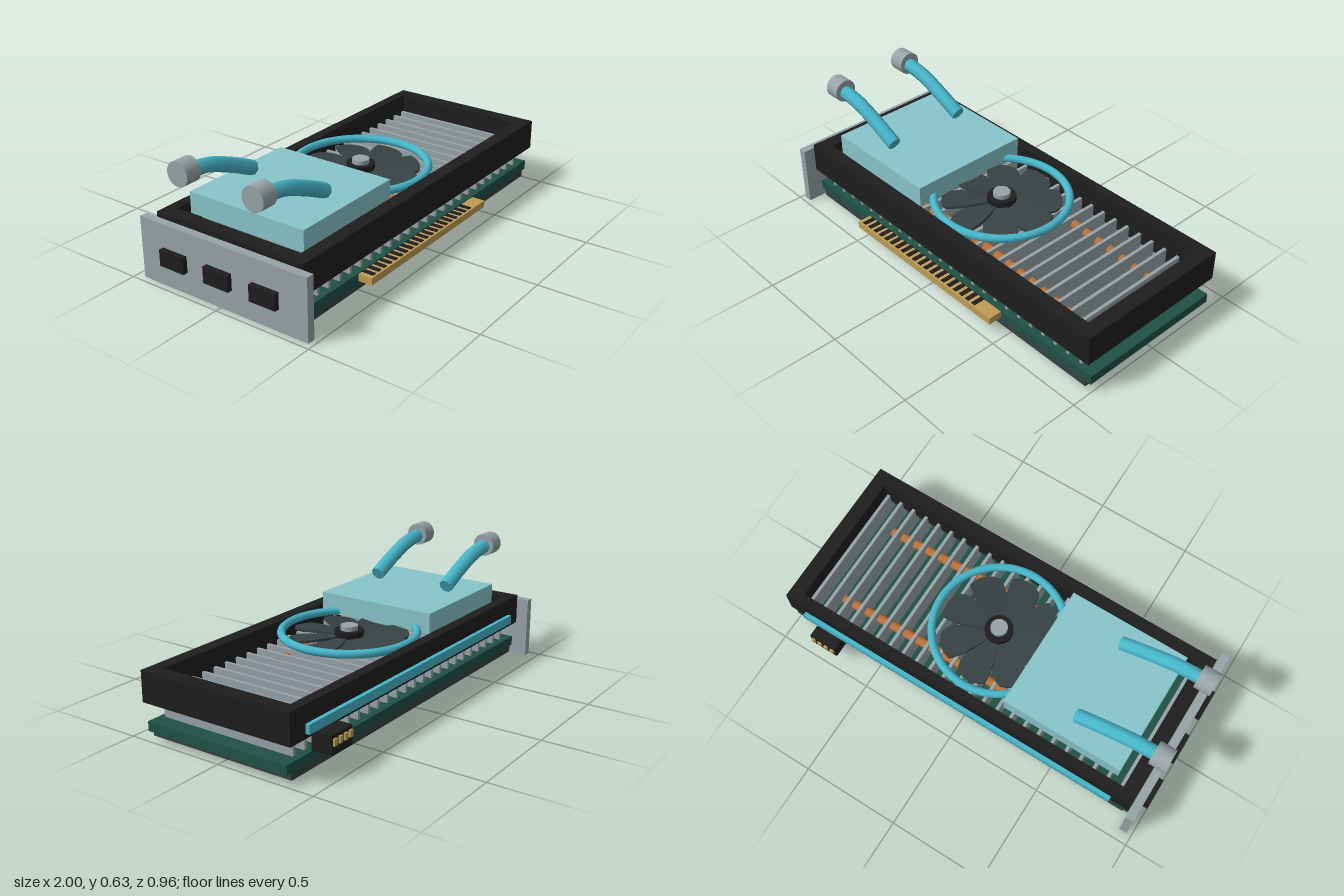
import * as THREE from 'three';

const mat = (name, color, side = THREE.FrontSide) => {
  const m = new THREE.MeshStandardMaterial({ color, side });
  m.name = name;
  return m;
};

export function createModel() {
  const black = mat('black plastic', 0x1e1e1e);
  const green = mat('circuit green', 0x1f5145);
  const slate = mat('dark slate', 0x374242, THREE.DoubleSide);
  const steel = mat('steel grey', 0x98a4a8);
  const gold = mat('gold', 0xc09c54);
  const copper = mat('copper', 0xb87038);
  const teal = mat('coolant teal', 0x46b6ca);
  const paleTeal = mat('pale teal', 0x88c5ca);

  const root = new THREE.Group();
  root.name = 'graphicsCard';
  const add = (name, geometry, material, parent = root) => {
    const mesh = new THREE.Mesh(geometry, material);
    mesh.name = name;
    parent.add(mesh);
    return mesh;
  };
  // Box given by its lower and upper limits on each axis
  const box = (name, material, [x0, x1], [y0, y1], [z0, z1], parent) => {
    const g = new THREE.BoxGeometry(x1 - x0, y1 - y0, z1 - z0);
    g.translate((x0 + x1) / 2, (y0 + y1) / 2, (z0 + z1) / 2);
    return add(name, g, material, parent);
  };
  const disc = (name, material, r, y0, y1, x, z, sides = 24, parent) => {
    const g = new THREE.CylinderGeometry(r, r, y1 - y0, sides);
    g.translate(x, (y0 + y1) / 2, z);
    return add(name, g, material, parent);
  };
  const curve = (pts, z) => new THREE.CatmullRomCurve3(pts.map(([x, y]) => new THREE.Vector3(x, y, z)));
  // Round pipe with closed ends
  const pipe = (name, material, path, r, sides) => {
    const group = new THREE.Group();
    group.name = name;
    root.add(group);
    add(name + 'Wall', new THREE.TubeGeometry(path, 24, r, sides), material, group);
    for (const t of [0, 1]) {
      const end = add(name + 'End', new THREE.CircleGeometry(r, sides), material, group);
      const dir = path.getTangent(t).multiplyScalar(t ? 1 : -1);
      end.position.copy(path.getPoint(t));
      end.quaternion.setFromUnitVectors(new THREE.Vector3(0, 0, 1), dir);
    }
  };

  // Board, backplate and screws
  box('circuitBoard', green, [-0.93, 1], [0.05, 0.097], [-0.37, 0.4]);
  box('backplate', slate, [-0.905, 0.97], [0.018, 0.05], [-0.37, 0.4]);
  for (const x of [-0.84, 0.905])
    for (const z of [-0.28, 0.313]) disc('backplateScrew', steel, 0.024, 0, 0.02, x, z, 12);

  // Edge connector with dark gaps between its contacts
  box('edgeConnector', gold, [-0.52, 0.445], [0.058, 0.093], [0.4, 0.47]);
  for (let i = 0; i < 20; i++) {
    const x = -0.485 + i * 0.0425;
    box('contactGap', black, [x - 0.011, x + 0.011], [0.091, 0.097], [0.4, 0.46]);
  }

  // Mounting bracket and ports
  box('bracket', steel, [-0.975, -0.935], [0.005, 0.308], [-0.45, 0.48]);
  for (const z of [-0.25, 0.005, 0.26])
    box('port', black, [-1, -0.97], [0.113, 0.193], [z - 0.07, z + 0.07]);

  // Cooling fins
  const fins = new THREE.Group();
  fins.name = 'fins';
  root.add(fins);
  for (let i = 0; i < 24; i++) {
    const x = -0.848 + i * 0.0766;
    box('fin', steel, [x - 0.008, x + 0.008], [0.097, 0.24], [-0.34, 0.375], fins);
  }

  // Arched heat pipes
  for (const z of [-0.205, 0.23])
    pipe('heatPipe', copper, curve([[-0.74, 0.143], [-0.38, 0.186], [0.03, 0.21], [0.45, 0.182], [0.81, 0.145]], z), 0.024, 10);

  // Open shroud frame
  const frame = new THREE.Shape([[-0.93, -0.425], [1, -0.425], [1, 0.39], [-0.93, 0.39]].map((p) => new THREE.Vector2(...p)));
  frame.holes.push(new THREE.Path([[-0.858, -0.358], [-0.858, 0.338], [0.928, 0.338], [0.928, -0.358]].map((p) => new THREE.Vector2(...p))));
  const frameGeo = new THREE.ExtrudeGeometry(frame, { depth: 0.15, bevelEnabled: false });
  frameGeo.rotateX(-Math.PI / 2).translate(0, 0.18, 0);
  add('shroud', frameGeo, black);
  box('lightStrip', teal, [-0.83, 0.9], [0.203, 0.247], [-0.41, -0.388]);

  // Fan: ring, hub, cap and swept blades
  const fan = new THREE.Group();
  fan.name = 'fan';
  fan.position.set(0.032, 0, 0.012);
  root.add(fan);
  const ring = new THREE.TorusGeometry(0.325, 0.02, 10, 64);
  ring.rotateX(Math.PI / 2).translate(0, 0.318, 0);
  add('fanRing', ring, teal, fan);
  disc('fanHub', black, 0.07, 0.24, 0.328, 0, 0, 24, fan);
  disc('fanCap', steel, 0.042, 0.328, 0.35, 0, 0, 24, fan);
  const blade = new THREE.Shape();
  blade.moveTo(0.055, -0.02);
  blade.bezierCurveTo(0.12, -0.075, 0.22, -0.1, 0.27, -0.06);
  blade.bezierCurveTo(0.3, -0.02, 0.295, 0.04, 0.265, 0.085);
  blade.bezierCurveTo(0.2, 0.085, 0.13, 0.06, 0.055, 0.025);
  const bladeGeo = new THREE.ExtrudeGeometry(blade, { depth: 0.012, bevelEnabled: false, curveSegments: 8 });
  bladeGeo.rotateX(-Math.PI / 2).rotateX(0.12).translate(0, 0.288, 0);
  for (let i = 0; i < 8; i++) add('fanBlade', bladeGeo, slate, fan).rotation.y = (i * Math.PI) / 4;

  // Water block, hoses and fittings
  box('waterBlock', paleTeal, [-0.81, -0.188], [0.3, 0.404], [-0.302, 0.333]);
  for (const z of [-0.193, 0.219]) {
    pipe('hose', teal, curve([[-0.518, 0.443], [-0.66, 0.507], [-0.8, 0.556], [-0.94, 0.573]], z), 0.036, 8);
    const fitting = new THREE.CylinderGeometry(0.058, 0.058, 0.083, 24);
    fitting.rotateZ(Math.PI / 2).translate(-0.942, 0.577, z);
    add('hoseFitting', fitting, steel);
  }

  // Power socket with pins
  box('powerSocket', black, [0.685, 0.83], [0.098, 0.188], [-0.468, -0.365]);
  for (let i = 0; i < 4; i++) {
    const x = 0.703 + i * 0.036;
    box('powerPin', gold, [x - 0.01, x + 0.01], [0.14, 0.172], [-0.478, -0.46]);
  }

  return root;
}
